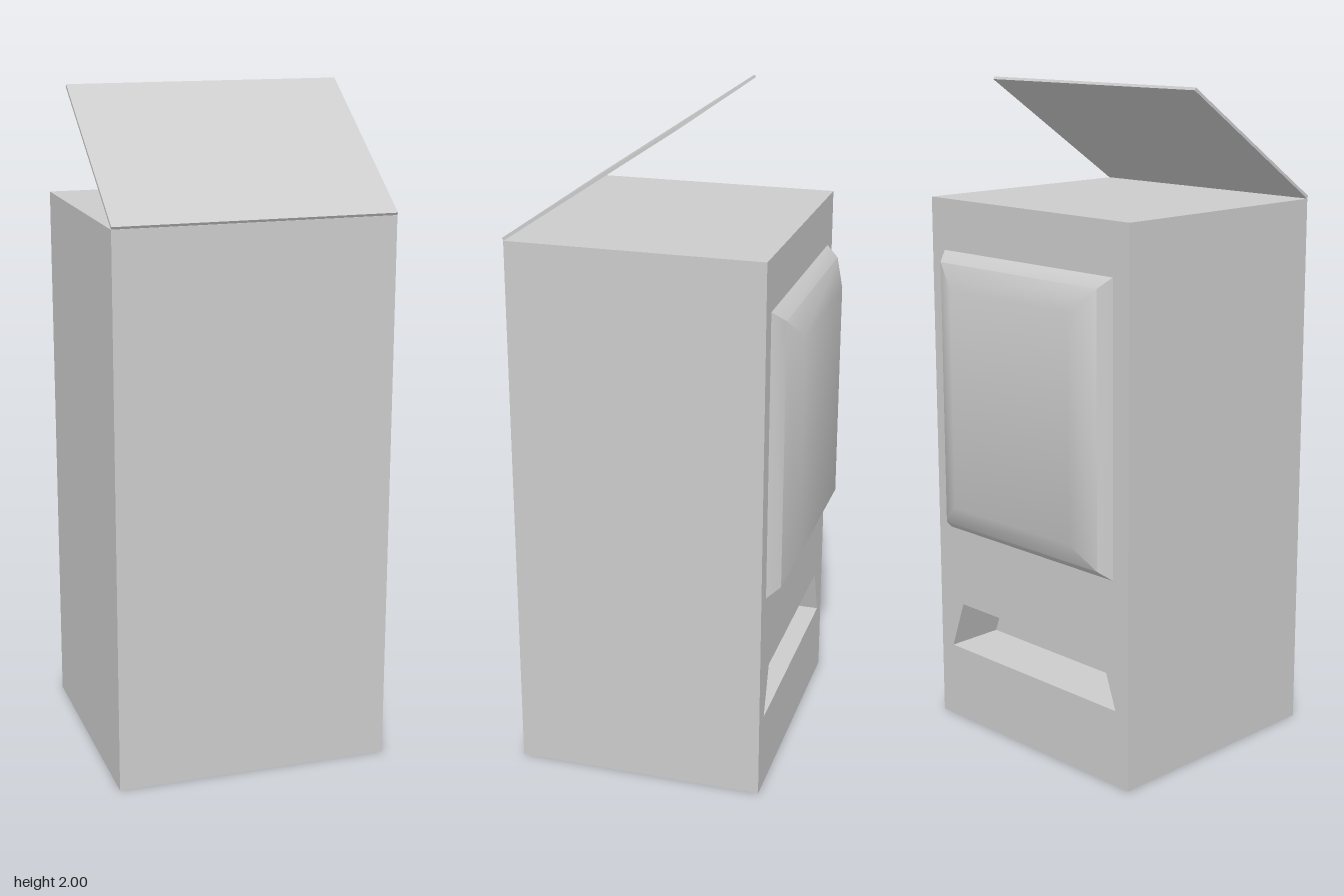
import * as THREE from 'three';
import { toCreasedNormals } from 'three/addons/utils/BufferGeometryUtils.js';

const W = 0.83, H = 1.655, BACK = -0.345, FRONT = 0.41;

// Trapezoid ring, counter-clockwise as seen from behind
function ring(z, y0, y1, bottomHalf, topHalf = bottomHalf, cx = 0) {
  return [[cx + bottomHalf, y0, z], [cx - bottomHalf, y0, z], [cx - topHalf, y1, z], [cx + topHalf, y1, z]];
}

// Joins four-cornered rings with quads and caps the last one
function loft(rings) {
  const pos = [];
  const quad = (a, b, c, d) => pos.push(...a, ...b, ...c, ...a, ...c, ...d);
  for (let r = 0; r < rings.length - 1; r++) {
    for (let i = 0; i < 4; i++) {
      const j = (i + 1) % 4;
      quad(rings[r][i], rings[r][j], rings[r + 1][j], rings[r + 1][i]);
    }
  }
  quad(...rings[rings.length - 1]);
  const geo = new THREE.BufferGeometry();
  geo.setAttribute('position', new THREE.Float32BufferAttribute(pos, 3));
  geo.computeVertexNormals();
  return geo;
}

export function createModel() {
  const group = new THREE.Group();
  const material = new THREE.MeshStandardMaterial({ color: 0xcccccc });
  const add = (name, geometry) => {
    const mesh = new THREE.Mesh(geometry, material);
    mesh.name = name;
    group.add(mesh);
    return mesh;
  };

  // Cabinet: a box without its rear face
  const cabinet = new THREE.BoxGeometry(W, H, FRONT - BACK);
  cabinet.setIndex(Array.from(cabinet.index.array).slice(0, 30));
  cabinet.translate(0, H / 2, (FRONT + BACK) / 2);
  add('cabinet', cabinet);

  // Rear panel with the tray opening cut out
  const slot = (z) => ring(z, 0.235, 0.385, 0.363, 0.31);
  const toPoints = (corners) => corners.map(([x, y]) => new THREE.Vector2(x, y));
  const panel = new THREE.Shape(toPoints(ring(0, 0, H, W / 2)));
  panel.holes.push(new THREE.Path(toPoints(slot(0))));
  const panelGeo = new THREE.ShapeGeometry(panel);
  panelGeo.rotateY(Math.PI).translate(0, 0, BACK);
  add('rearPanel', panelGeo);

  // Tray recess running into the cabinet
  add('trayRecess', loft([slot(BACK), slot(BACK + 0.18)]));

  // Bulging window: soft face, crisp side strips
  const cx = 0.004;
  add('bulgedWindow', toCreasedNormals(loft([
    ring(BACK, 0.63, 1.5, 0.356, 0.356, cx),
    ring(-0.383, 0.66, 1.47, 0.331, 0.331, cx),
    ring(-0.417, 0.73, 1.4, 0.249, 0.249, cx),
  ]), 0.6));

  // Thin lid tilted up from the front top edge
  const hinge = new THREE.Vector2(0.411, 1.659), tip = new THREE.Vector2(-0.091, 1.996);
  const lid = add('raisedLid', new THREE.BoxGeometry(W, 0.009, hinge.distanceTo(tip)));
  lid.position.set(0, (hinge.y + tip.y) / 2, (hinge.x + tip.x) / 2);
  lid.rotation.x = Math.atan2(tip.y - hinge.y, hinge.x - tip.x);

  return group;
}
